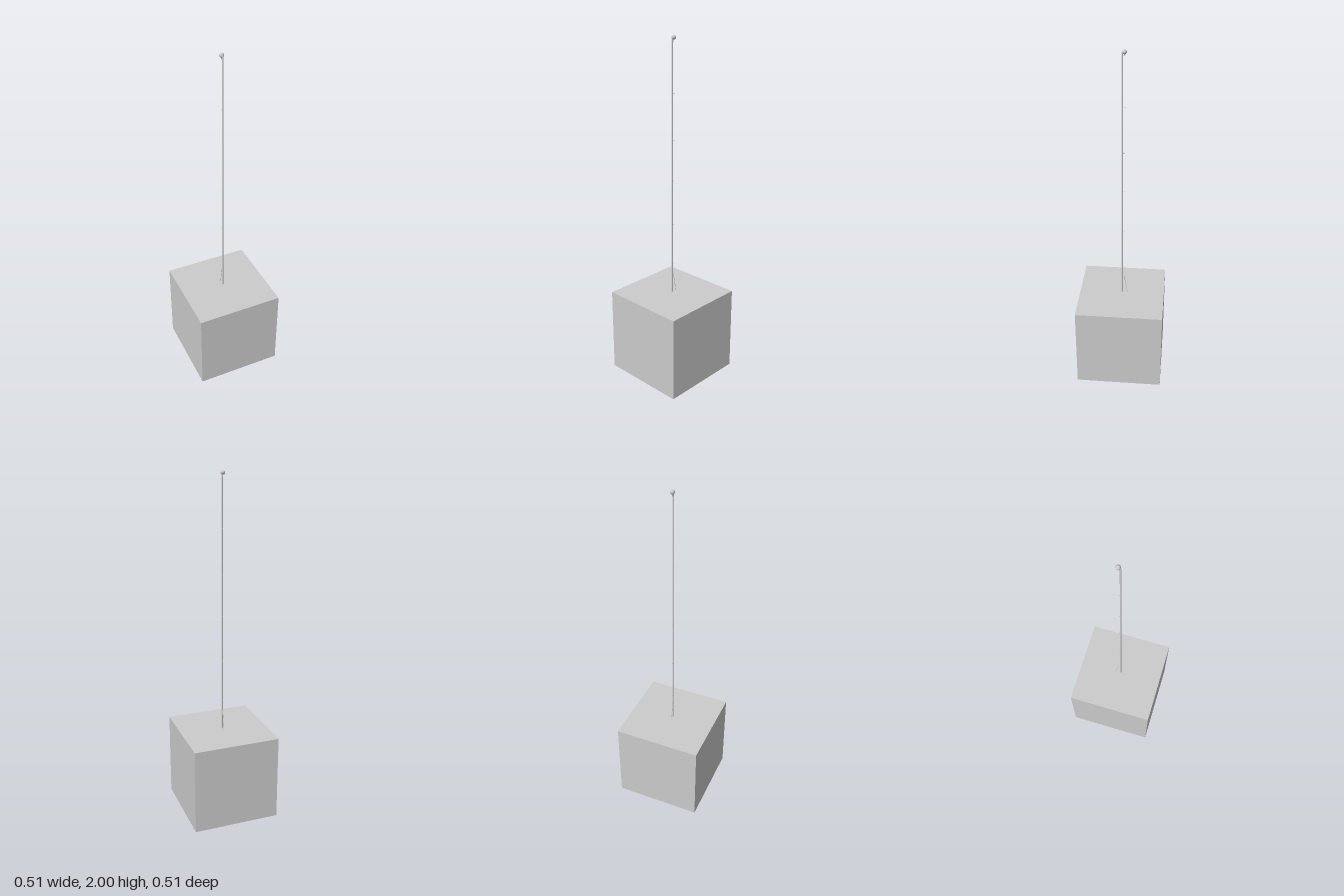
import * as THREE from 'three';

const mat = new THREE.MeshStandardMaterial({ color: 0xcccccc });

export function createModel() {
  const model = new THREE.Group();

  const add = (name, geometry, x, y, z) => {
    const mesh = new THREE.Mesh(geometry, mat);
    mesh.name = name;
    mesh.position.set(x, y, z);
    model.add(mesh);
    return mesh;
  };

  // Round bar between two points in the x = 0 plane
  const bar = (name, y0, z0, y1, z1, radius) => {
    const a = new THREE.Vector3(0, y0, z0);
    const b = new THREE.Vector3(0, y1, z1);
    const dir = b.clone().sub(a);
    const mesh = add(name, new THREE.CylinderGeometry(radius, radius, dir.length(), 10), 0, (y0 + y1) / 2, (z0 + z1) / 2);
    mesh.quaternion.setFromUnitVectors(new THREE.Vector3(0, 1, 0), dir.normalize());
  };

  // Cube base
  add('base', new THREE.BoxGeometry(0.508, 0.508, 0.508), 0, 0.254, 0);

  // Tall slender pole
  add('pole', new THREE.CylinderGeometry(0.0042, 0.0042, 1.48, 20), 0, 1.245, 0);

  // Small pegs along the back of the pole
  [0.69, 0.935, 1.2, 1.435, 1.695].forEach((y) => bar('peg', y, 0, y, -0.016, 0.0015));

  // Slanted stay from the base towards the pole
  bar('stay', 0.508, -0.032, 0.63, -0.01, 0.0013);

  // Bracket carrying the ball behind the pole tip
  bar('bracketArm', 1.967, 0, 1.967, -0.012, 0.002);
  bar('bracketPost', 1.966, -0.012, 1.98, -0.012, 0.002);
  add('ball', new THREE.SphereGeometry(0.0125, 24, 16), 0, 1.9875, -0.012);

  return model;
}
